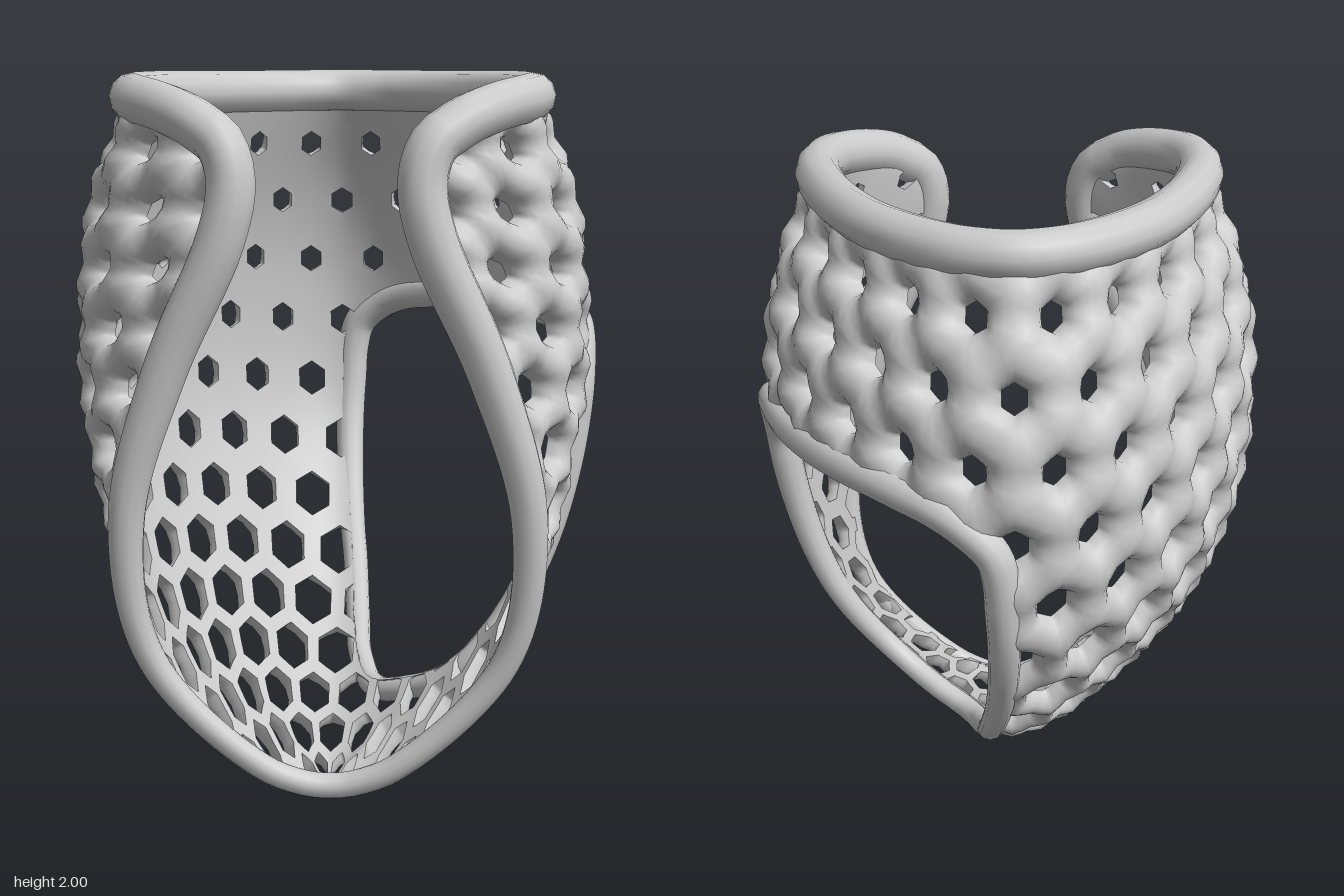
import * as THREE from 'three';
import { mergeVertices } from 'three/addons/utils/BufferGeometryUtils.js';

const mat = new THREE.MeshStandardMaterial({ color: 0xcccccc, side: THREE.DoubleSide });
const { clamp, lerp, smoothstep } = THREE.MathUtils;

// Guide curves running from the top edge down to a shared toe point
const guide = (...points) => new THREE.CatmullRomCurve3([...points, [0, 0.055, 0.56]].map((p) => new THREE.Vector3(...p)));
const back = guide([0, 1.92, -0.48], [0, 1.6, -0.62], [0, 1.3, -0.675], [0, 0.9, -0.63], [0, 0.5, -0.37], [0, 0.225, 0], [0, 0.1, 0.4]);
const backQuarter = guide([0.31, 1.92, -0.27], [0.39, 1.45, -0.4], [0.4, 0.95, -0.37], [0.32, 0.5, -0.08], [0.17, 0.21, 0.23]);
const side = guide([0.5, 1.91, 0.18], [0.62, 1.6, 0.1], [0.64, 1.05, 0.1], [0.52, 0.6, 0.2], [0.3, 0.28, 0.32]);
const frontQuarter = guide([0.48, 1.91, 0.4], [0.58, 1.5, 0.41], [0.6, 0.95, 0.42], [0.48, 0.48, 0.44], [0.17, 0.14, 0.52]);
const frontEdge = guide([0.33, 1.89, 0.59], [0.245, 1.81, 0.64], [0.22, 1.7, 0.66], [0.25, 1.55, 0.67], [0.4, 1.2, 0.655],
  [0.505, 0.8, 0.64], [0.45, 0.42, 0.605], [0.15, 0.11, 0.58]);

// Shell: mirrored cross-sections through the guides, evaluated at u (-1..1 around) and v (0..1 down)
const ROWS = 100, COLS = 128, LENGTH = 2.5;
const spans = [];
const rows = Array.from({ length: ROWS + 1 }, (_, i) => {
  const half = [back, backQuarter, side, frontQuarter, frontEdge].map((g) => g.getPointAt(0.985 * i / ROWS));
  const other = half.slice(1).reverse().map((p) => new THREE.Vector3(-p.x, p.y, p.z));
  const curve = new THREE.CatmullRomCurve3([...other, ...half]);
  spans.push(Math.sqrt(0.8 * curve.getLength()));
  return curve.getSpacedPoints(COLS);
});
function surf(u, v) {
  const a = clamp((u + 1) / 2, 0, 1) * COLS, b = clamp(v, 0, 1) * ROWS;
  const i = Math.min(Math.floor(a), COLS - 1), j = Math.min(Math.floor(b), ROWS - 1);
  const p = rows[j][i].clone().lerp(rows[j][i + 1], a - i);
  return p.lerp(rows[j + 1][i].clone().lerp(rows[j + 1][i + 1], a - i), b - j);
}
// Half width of the flat honeycomb sheet at v, eased so that columns stay upright
function spanAt(v) {
  const b = clamp(v, 0, 1) * ROWS, j = Math.min(Math.floor(b), ROWS - 1);
  return lerp(spans[j], spans[j + 1], b - j);
}
function raised(u, v, h) {
  const du = surf(u + 0.02, v).sub(surf(u - 0.02, v));
  const dv = surf(u, v + 0.015).sub(surf(u, v - 0.015));
  return surf(u, v).addScaledVector(du.cross(dv).normalize(), h);
}

// Side window outline, snapped to the shell and kept as flat (across, down) coordinates
const windowPoints = [[0.05, 1, -0.72], [0.07, 1.18, -0.71], [0.2, 1.28, -0.66], [0.64, 1.3, -0.1], [0.69, 1.28, 0.09],
  [0.67, 1.16, 0.22], [0.66, 0.9, 0.26], [0.57, 0.55, 0.28], [0.4, 0.32, 0.28], [0.27, 0.19, 0.2], [0.13, 0.16, 0.06],
  [0.05, 0.45, -0.42]].map((c) => {
  const target = new THREE.Vector3(...c);
  let best = Infinity, at;
  rows.forEach((row, j) => row.forEach((p, i) => {
    const d = p.distanceToSquared(target);
    if (d < best) {
      best = d;
      at = new THREE.Vector3((2 * i / COLS - 1) * spans[j], LENGTH * j / ROWS, 0);
    }
  }));
  return at;
});
const outline = new THREE.CatmullRomCurve3(windowPoints, true).getSpacedPoints(400);
const centre = new THREE.Box3().setFromPoints(outline).getCenter(new THREE.Vector3());
const angle = (s, t) => Math.atan2(t - centre.y, s - centre.x);
const reach = Array.from({ length: 720 }, (_, k) => {
  const a = k / 720 * 2 * Math.PI - Math.PI;
  let best = -2, r = 0;
  for (const p of outline) {
    const c = Math.cos(angle(p.x, p.y) - a);
    if (c > best) { best = c; r = Math.hypot(p.x - centre.x, p.y - centre.y); }
  }
  return r;
});
const windowRatio = (s, t) =>
  Math.hypot(s - centre.x, t - centre.y) / reach[Math.floor((angle(s, t) / (2 * Math.PI) + 0.5) * 720) % 720];

// Flat coordinates to space, held outside the window and inside the shell's edges
function place(s, t, h) {
  const w = windowRatio(s, t);
  if (w < 1) {
    const k = 1 / Math.max(w, 0.001);
    s = centre.x + (s - centre.x) * k;
    t = centre.y + (t - centre.y) * k;
  }
  const v = clamp(t / LENGTH, 0, 1);
  return raised(clamp(s / spanAt(v), -1, 1), v, h);
}
const outside = (s, t) => t < 0 || t > LENGTH || Math.abs(s) > spanAt(t / LENGTH) || windowRatio(s, t) < 1;

// Honeycomb: every cell is a ring with a rounded outer face and a flat inner face
const PITCH = 0.2, RISE = 0.195, SEG = 4, RINGS = 5;
const corners = Array.from({ length: 6 }, (_, k) => {
  const a = (k / 3 - 0.5) * Math.PI;
  return [Math.cos(a) * PITCH / Math.sqrt(3), Math.sin(a) * RISE * 2 / 3];
});

function addStrip(list, rings, flip, pointAt) {
  const n = 6 * SEG;
  const grid = Array.from({ length: rings + 1 }, (_, a) => Array.from({ length: n }, (_, b) => {
    const e = Math.floor(b / SEG), f = (b % SEG) / SEG;
    const p = corners[e], q = corners[(e + 1) % 6];
    return pointAt(a / rings, lerp(p[0], q[0], f), lerp(p[1], q[1], f), 0.5 + 0.5 * Math.cos(2 * Math.PI * f));
  }));
  for (let a = 0; a < rings; a++) for (let b = 0; b < n; b++) {
    const c = (b + 1) % n;
    const [A, B, C, D] = [grid[a][b], grid[a][c], grid[a + 1][c], grid[a + 1][b]];
    for (const p of flip ? [A, C, B, A, D, C] : [A, B, C, A, C, D]) list.push(p.x, p.y, p.z);
  }
}

function addCell(s0, t0, outer, inner) {
  const hole = lerp(0.32, 0.74, smoothstep(t0 / LENGTH, 0.2, 0.75));
  addStrip(outer, RINGS, false, (k, x, y, node) => {
    const m = lerp(1, hole, Math.sin(k * Math.PI / 2));
    const t = t0 + y * m;
    const height = lerp(0.08, 0.055, smoothstep(t / LENGTH, 0.2, 0.75)) * (0.82 + 0.18 * node);
    return place(s0 + x * m, t, height * Math.cos(k * Math.PI / 2));
  });
  addStrip(inner, 2, true, (k, x, y) => place(s0 + x * lerp(1, hole, k), t0 + y * lerp(1, hole, k), 0));
}

function smoothMesh(list, name) {
  let g = new THREE.BufferGeometry();
  g.setAttribute('position', new THREE.Float32BufferAttribute(list, 3));
  g = mergeVertices(g, 1e-4);
  g.computeVertexNormals();
  const mesh = new THREE.Mesh(g, mat);
  mesh.name = name;
  return mesh;
}

// Rounded rim along a closed path, thinner toward the toe
function rim(points, name, thick) {
  const path = new THREE.CatmullRomCurve3(points, true);
  const N = 220, SIDES = 12;
  const g = new THREE.TubeGeometry(path, N, 1, SIDES, true);
  const pos = g.attributes.position, v = new THREE.Vector3();
  for (let i = 0; i < pos.count; i++) {
    const c = path.getPointAt(Math.floor(i / (SIDES + 1)) / N);
    const r = lerp(0.036, thick, smoothstep(c.y, 0.1, 1.6));
    v.fromBufferAttribute(pos, i).sub(c).multiplyScalar(r).add(c);
    pos.setXYZ(i, v.x, v.y, v.z);
  }
  const mesh = new THREE.Mesh(g, mat);
  mesh.name = name;
  return mesh;
}

export function createModel() {
  const group = new THREE.Group();
  group.name = 'perforatedBrace';

  const outer = [], inner = [];
  for (let j = -1; j < 14; j++) for (let i = -12; i <= 12; i++) {
    const s = (i + (j % 2 === 0 ? 0.5 : 0)) * PITCH, t = 0.16 + j * RISE;
    const touches = corners.some(([x, y]) => !outside(s + x, t + y)) || !outside(s, t);
    if (touches) addCell(s, t, outer, inner);
  }
  group.add(smoothMesh(outer, 'honeycombOuter'), smoothMesh(inner, 'honeycombInner'));

  // Rim along the top edge, down one front edge, round the toe and up the other
  const edge = [];
  const lift = (v) => lerp(0.045, 0.025, v);
  for (let k = 1; k < 24; k++) edge.push(raised(k / 12 - 1, 0, lift(0)));
  for (let k = 0; k <= 36; k++) edge.push(raised(1, k / 36, lift(k / 36)));
  for (let k = 36; k >= 0; k--) edge.push(raised(-1, k / 36, lift(k / 36)));
  group.add(rim(edge, 'openingRim', 0.066));

  const frame = outline.slice(0, -1).filter((_, k) => k % 8 === 0).map((p) => place(p.x, p.y, 0.04));
  group.add(rim(frame, 'windowRim', 0.055));
  return group;
}
